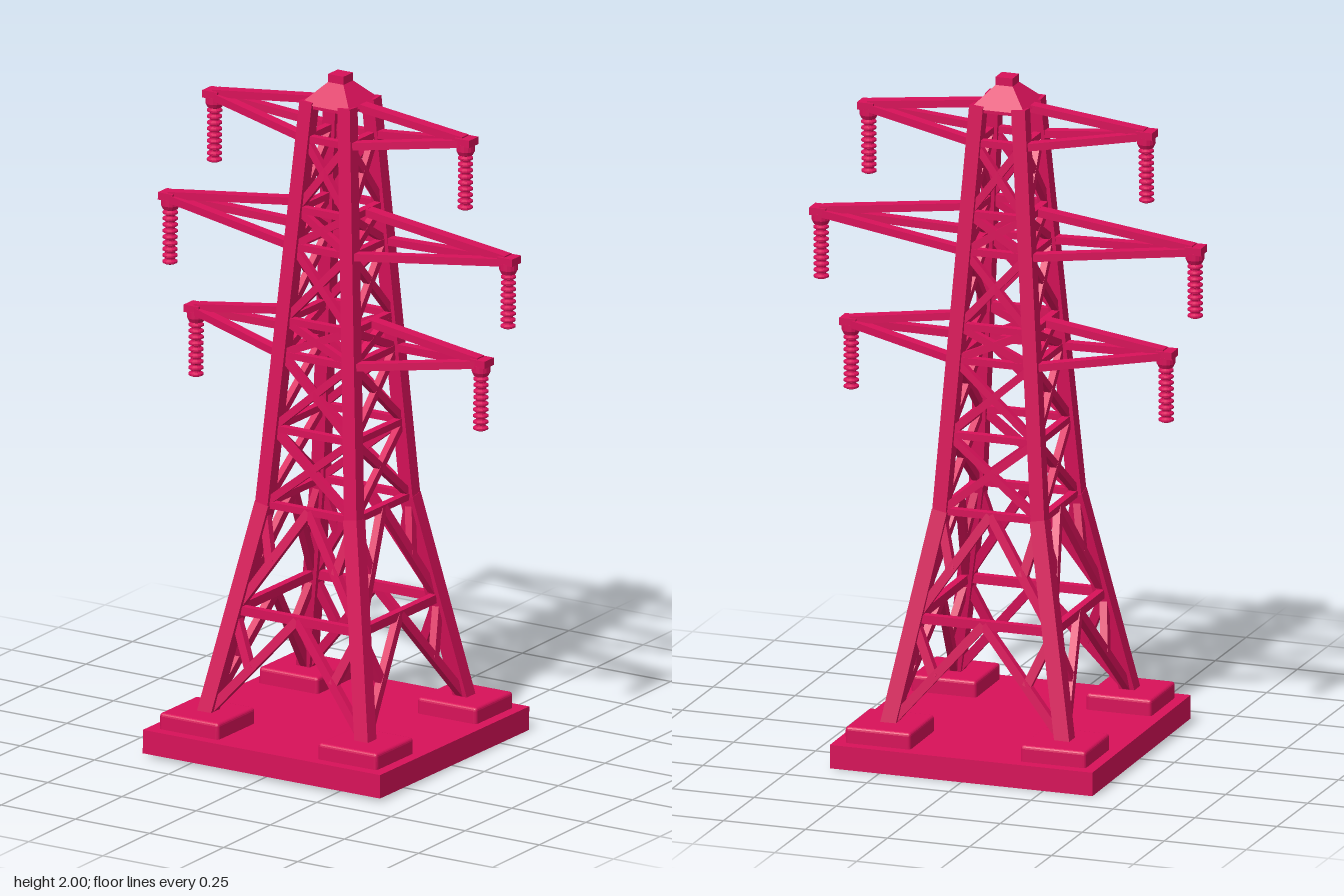
import * as THREE from 'three';
import { RoundedBoxGeometry } from 'three/addons/geometries/RoundedBoxGeometry.js';

const material = new THREE.MeshStandardMaterial({ color: 0xd81159, flatShading: true });
const V = (x, y, z) => new THREE.Vector3(x, y, z);

function part(parent, name, geometry, x = 0, y = 0, z = 0) {
  const mesh = new THREE.Mesh(geometry, material);
  mesh.name = name;
  mesh.position.set(x, y, z);
  parent.add(mesh);
  return mesh;
}

// Straight bar from a to b; its depth lies along the given facing direction
function beam(parent, name, a, b, width, depth, facing = V(0, 0, 1)) {
  const dir = b.clone().sub(a);
  const mesh = part(parent, name, new THREE.BoxGeometry(width, dir.length(), depth));
  dir.normalize();
  const side = dir.clone().cross(facing).normalize();
  const front = side.clone().cross(dir);
  mesh.quaternion.setFromRotationMatrix(new THREE.Matrix4().makeBasis(side, dir, front));
  mesh.position.copy(a).add(b).multiplyScalar(0.5);
}

// Distance of the leg centre lines from the tower axis at height y
const BEND = 0.72, TOP = 1.92;
const spread = (y) => y < BEND
  ? THREE.MathUtils.mapLinear(y, 0.1, BEND, 0.268, 0.15)
  : THREE.MathUtils.mapLinear(y, BEND, TOP, 0.15, 0.064);

// Lattice of one side of the tower, built facing +z
function latticeFace() {
  const face = new THREE.Group();
  face.name = 'latticeFace';
  const at = (s, y) => V(s * spread(y), y, spread(y));

  for (const y of [0.415, 0.725, 0.95, 1.17, 1.27, 1.49, 1.6, 1.81, 1.91]) {
    const h = y < 0.5 ? 0.026 : 0.02;
    beam(face, 'crossbar', at(-1, y), at(1, y), h, 0.022);
  }
  // Lower panels: an inverted V with knee struts
  for (const [y0, y1] of [[0.11, 0.415], [0.415, 0.725]]) {
    for (const s of [-1, 1]) {
      const foot = at(s, y0), apex = at(0, y1);
      beam(face, 'diagonalStrut', foot, apex, 0.026, 0.022);
      beam(face, 'kneeStrut', at(s, y1 - 0.01), foot.clone().lerp(apex, 0.47), 0.026, 0.022);
    }
  }
  // Upper panels: crossed braces
  const levels = [0.725, 0.95, 1.17, 1.27, 1.49, 1.6, 1.81];
  for (let i = 0; i < levels.length - 1; i++) {
    for (const s of [-1, 1]) {
      beam(face, 'crossBrace', at(-s, levels[i]), at(s, levels[i + 1]), 0.022, 0.02);
    }
  }
  return face;
}

// Ribbed insulator hanging down from y = 0
function insulatorGeometry() {
  const points = [[0, 0], [0.027, 0], [0.027, -0.02], [0.021, -0.032]];
  const ribs = 9, start = -0.032, pitch = 0.0183;
  for (let i = 0; i < ribs; i++) {
    const y = start - i * pitch;
    points.push([0.014, y - 0.003], [0.022, y - 0.008], [0.022, y - 0.013], [0.014, y - 0.017]);
  }
  points.push([0, start - ribs * pitch]);
  return new THREE.LatheGeometry(points.reverse().map(([r, y]) => new THREE.Vector2(r, y)), 16);
}

// Cross-arm on side s: two lower chords and a central upper chord
function crossArm(s, reach, tipY, lowY, highY) {
  const arm = new THREE.Group();
  arm.name = s > 0 ? 'leftArm' : 'rightArm';
  const tipX = reach - 0.03;
  for (const f of [-1, 1]) {
    beam(arm, 'lowerChord', V(s * spread(lowY), lowY, f * spread(lowY)),
      V(s * tipX, tipY - 0.004, f * 0.008), 0.03, 0.022, V(0, 1, 0));
  }
  beam(arm, 'upperChord', V(s * spread(highY), highY, 0), V(s * tipX, tipY + 0.004, 0),
    0.036, 0.022, V(0, 1, 0));
  part(arm, 'armTip', new THREE.BoxGeometry(0.05, 0.022, 0.05), s * (reach - 0.025), tipY, 0);
  part(arm, 'insulator', insulatorGeometry(), s * (reach - 0.027), tipY - 0.008, 0);
  return arm;
}

export function createModel() {
  const model = new THREE.Group();
  model.name = 'transmissionTower';

  // Base slab and footings
  part(model, 'baseSlab', new THREE.BoxGeometry(0.8, 0.07, 0.8), 0, 0.035, 0);
  for (const sx of [-1, 1]) for (const sz of [-1, 1]) {
    part(model, 'footing', new RoundedBoxGeometry(0.2, 0.06, 0.2, 2, 0.01),
      sx * 0.267, 0.088, sz * 0.267);
    // Corner leg, bent at the waist
    const at = (y) => V(sx * spread(y), y, sz * spread(y));
    beam(model, 'lowerLeg', at(0.1), at(BEND + 0.005), 0.046, 0.046);
    beam(model, 'upperLeg', at(BEND - 0.005), at(TOP), 0.042, 0.042);
  }

  // Lattice on all four sides
  for (let i = 0; i < 4; i++) {
    const face = latticeFace();
    face.rotation.y = i * Math.PI / 2;
    model.add(face);
  }

  // Three pairs of cross-arms
  for (const [reach, tipY, lowY, highY] of [
    [0.45, 1.865, 1.81, 1.91], [0.597, 1.535, 1.49, 1.6], [0.507, 1.215, 1.17, 1.272],
  ]) {
    for (const s of [-1, 1]) model.add(crossArm(s, reach, tipY, lowY, highY));
  }

  // Pyramid cap with a small block on top
  const cap = new THREE.CylinderGeometry(0.026 * Math.SQRT2, 0.084 * Math.SQRT2, 0.06, 4);
  cap.rotateY(Math.PI / 4);
  part(model, 'roofCap', cap, 0, 1.942, 0);
  part(model, 'finial', new THREE.BoxGeometry(0.052, 0.03, 0.052), 0, 1.981, 0);

  // The whole tower leans very slightly backwards
  model.rotation.x = -0.0125;
  model.position.y = 0.005;
  const root = new THREE.Group();
  root.name = 'tower';
  root.add(model);
  return root;
}
